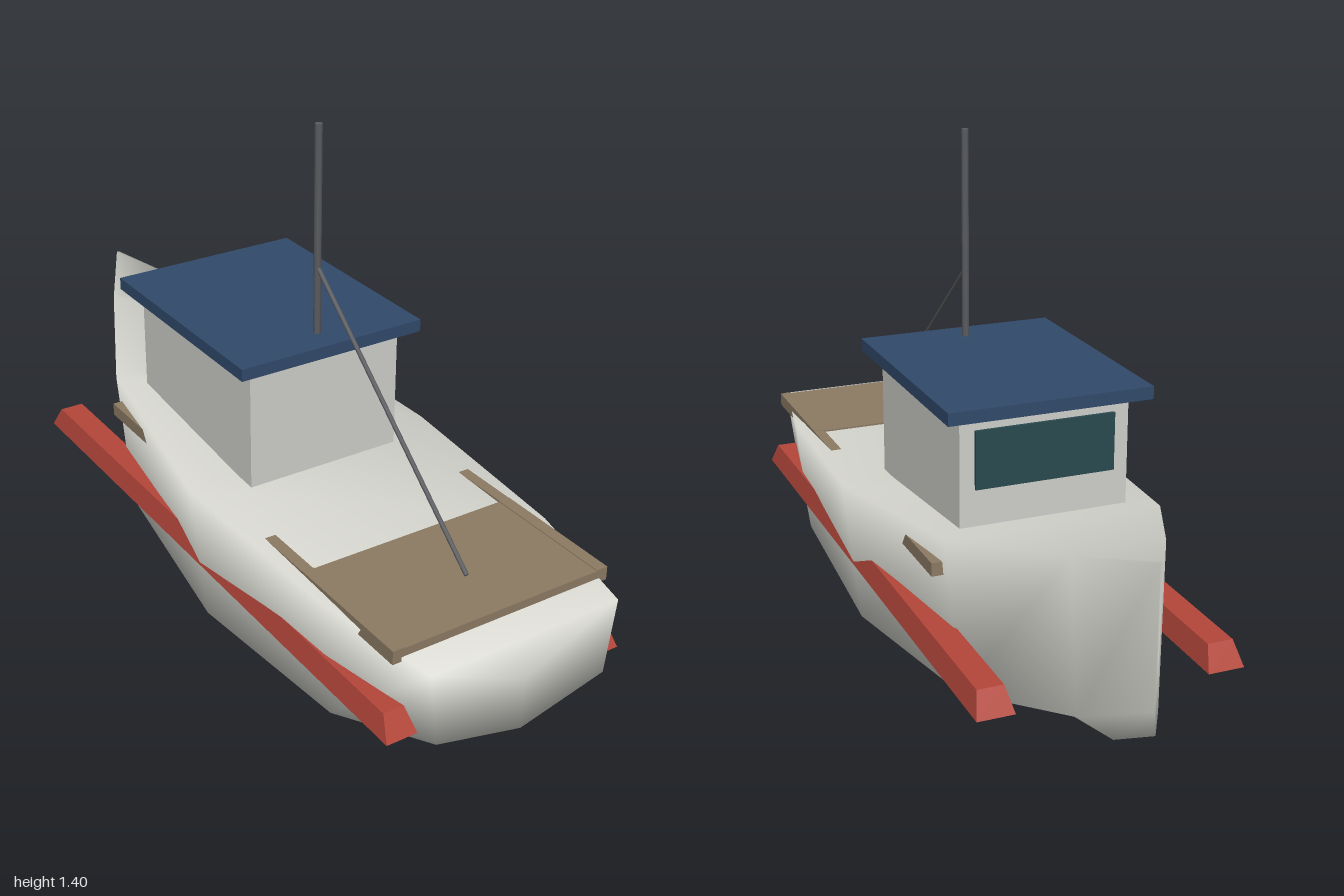
import * as THREE from 'three';

const mat = (name, color, side = THREE.FrontSide) => {
  const m = new THREE.MeshStandardMaterial({ color, side });
  m.name = name;
  return m;
};

// Hull stations from stern to bow: z, keel y, chine x, chine y, deck x, deck y
const STATIONS = [
  [1, 0.19, 0.245, 0.25, 0.27, 0.447],
  [0.66, 0.045, 0.3, 0.13, 0.335, 0.465],
  [0.1, 0.004, 0.32, 0.09, 0.365, 0.485],
  [-0.46, 0.045, 0.25, 0.13, 0.285, 0.54],
  [-0.8, 0.13, 0.095, 0.21, 0.118, 0.615],
  [-1, 0.25, 0.004, 0.31, 0.004, 0.665],
];

// Smooth closed hull lofted through five-sided sections
function hullGeometry() {
  const pos = [], idx = [], n = 5, last = STATIONS.length - 1;
  for (const [z, ky, cx, cy, dx, dy] of STATIONS) {
    pos.push(0, ky, z, cx, cy, z, dx, dy, z, -dx, dy, z, -cx, cy, z);
  }
  const stern = pos.length / 3, bow = stern + 1;
  pos.push(0, 0.33, 1, 0, 0.45, -1);
  for (let j = 0; j < n; j++) {
    const k = (j + 1) % n;
    for (let i = 0; i < last; i++) {
      const a = i * n + j, b = i * n + k, c = b + n, d = a + n;
      idx.push(a, d, c, a, c, b);
    }
    idx.push(stern, j, k, bow, last * n + k, last * n + j);
  }
  const g = new THREE.BufferGeometry();
  g.setAttribute('position', new THREE.Float32BufferAttribute(pos, 3));
  g.setIndex(idx);
  g.computeVertexNormals();
  return g;
}

// Box given by its minimum and maximum corners
function block([x0, y0, z0], [x1, y1, z1]) {
  return new THREE.BoxGeometry(x1 - x0, y1 - y0, z1 - z0)
    .translate((x0 + x1) / 2, (y0 + y1) / 2, (z0 + z1) / 2);
}

// Box whose top face is inset on all four sides
function taperedBlock(w, h, d, insetX, insetZ) {
  const g = new THREE.BoxGeometry(w, h, d).toNonIndexed();
  const p = g.attributes.position;
  for (let i = 0; i < p.count; i++) {
    if (p.getY(i) < 0) continue;
    p.setX(i, p.getX(i) - Math.sign(p.getX(i)) * insetX);
    p.setZ(i, p.getZ(i) - Math.sign(p.getZ(i)) * insetZ);
  }
  g.computeVertexNormals();
  return g;
}

// Round bar between two points
function bar(from, to, radius) {
  const a = new THREE.Vector3(...from), b = new THREE.Vector3(...to);
  const dir = b.clone().sub(a);
  const g = new THREE.CylinderGeometry(radius, radius, dir.length(), 8);
  g.applyQuaternion(new THREE.Quaternion().setFromUnitVectors(
    new THREE.Vector3(0, 1, 0), dir.normalize()));
  const c = a.add(b).multiplyScalar(0.5);
  return g.translate(c.x, c.y, c.z);
}

export function createModel() {
  const boat = new THREE.Group();
  boat.name = 'fishingBoat';
  const hullPaint = mat('hull white', 0xdcdcd5, THREE.DoubleSide);
  const cabinPaint = mat('cabin grey white', 0xcfd0ca);
  const roofPaint = mat('roof blue', 0x314a6b);
  const glass = mat('window teal', 0x2a4a50);
  const red = mat('fender red', 0xb4463a);
  const wood = mat('deck wood', 0x8c7b63);
  const metal = mat('mast grey', 0x5a5c60);

  const add = (name, geometry, material) => {
    const mesh = new THREE.Mesh(geometry, material);
    mesh.name = name;
    boat.add(mesh);
    return mesh;
  };

  add('hull', hullGeometry(), hullPaint);

  // Wheelhouse
  add('cabin', block([-0.222, 0.46, -0.395], [0.222, 0.815, 0.17]), cabinPaint);
  add('roof', block([-0.267, 0.815, -0.44], [0.267, 0.848, 0.208]), roofPaint);
  add('bowWindow', block([-0.183, 0.63, -0.403], [0.183, 0.78, -0.394]), glass);

  // Working deck at the stern
  add('sternDeck', block([-0.281, 0.452, 0.55], [0.281, 0.474, 0.915]), wood);

  // Mirrored rails and rubbing fenders
  for (const [side, s] of [['left', 1], ['right', -1]]) {
    add(side + 'Rail', block([-0.015, 0.44, -0.435], [0.015, 0.475, 0.915]), wood)
      .position.x = s * 0.295;
    // the deck planking covers the rails at the stern
    add(side + 'DeckEdge', block([-0.016, 0.47, 0.55], [0.016, 0.476, 0.915]), wood)
      .position.x = s * 0.294;
    add(side + 'Fender', taperedBlock(0.095, 0.06, 1.745, 0.014, 0.035), red)
      .position.set(s * 0.293, 0.28, 0.0725);
  }

  // Mast and boom
  add('mast', bar([0, 0.84, 0.13], [0, 1.4, 0.13], 0.01), metal);
  add('boom', bar([0, 1.03, 0.13], [0, 0.483, 0.775], 0.006), metal);
  return boat;
}
